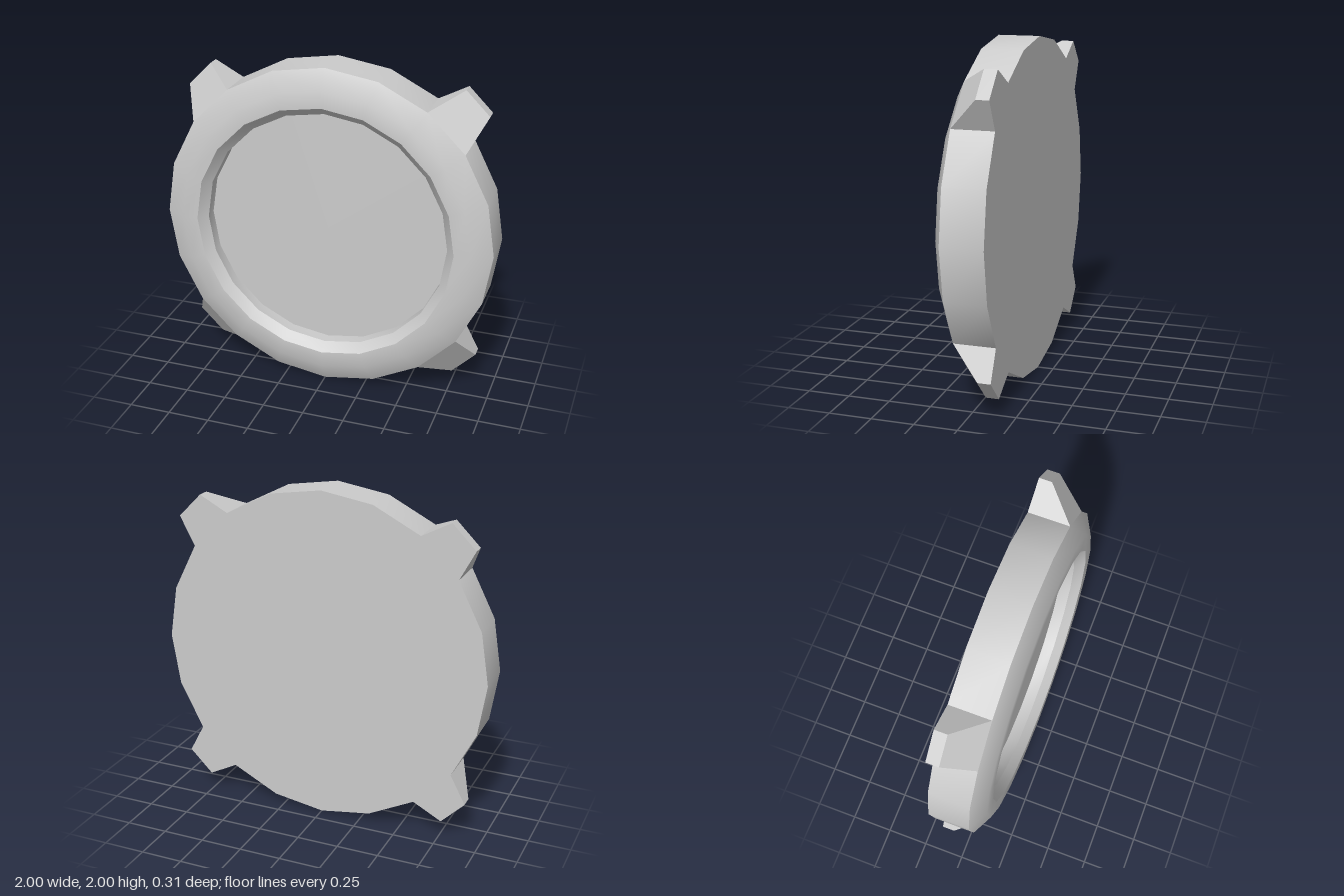
import * as THREE from 'three';
import { toCreasedNormals } from 'three/addons/utils/BufferGeometryUtils.js';

const SIDES = 20;
const BACK = -0.155, FRONT = 0.155, SHOULDER = 0.09;

// Wedge-shaped lug along +x: full height at the rim, narrower and thinner at the tip
function lugGeometry() {
  const rim = Math.cos(Math.PI / SIDES), halfFacet = Math.sin(Math.PI / SIDES);
  const geometry = new THREE.BoxGeometry(1, 1, 1);
  const p = geometry.attributes.position;
  for (let i = 0; i < p.count; i++) {
    const tip = p.getX(i) > 0, front = p.getZ(i) > 0;
    p.setXYZ(
      i,
      tip ? 1.174 : rim,
      Math.sign(p.getY(i)) * (tip ? 0.099 : halfFacet),
      front ? (tip ? -0.08 : SHOULDER) : BACK
    );
  }
  geometry.computeVertexNormals();
  return geometry;
}

export function createModel() {
  const model = new THREE.Group();
  model.name = 'roundCap';
  const material = new THREE.MeshStandardMaterial({ color: 0xcccccc });

  // Dish: flat back, outer wall, chamfered rim, bevelled lip and recessed floor
  const profile = [
    [0, BACK], [1, BACK], [1, SHOULDER], [0.88, FRONT],
    [0.785, FRONT], [0.735, 0.1], [0.735, 0.03], [0, 0.03],
  ].map(([r, z]) => new THREE.Vector2(r, z));
  const dishGeometry = new THREE.LatheGeometry(profile, SIDES);
  dishGeometry.rotateX(Math.PI / 2);
  const dish = new THREE.Mesh(toCreasedNormals(dishGeometry, Math.PI / 6), material);
  dish.name = 'dish';
  dish.position.y = 1;
  model.add(dish);

  // Four lugs on the diagonals
  const lug = lugGeometry();
  ['upperLeftLug', 'upperRightLug', 'lowerRightLug', 'lowerLeftLug'].forEach((name, i) => {
    const mesh = new THREE.Mesh(lug, material);
    mesh.name = name;
    mesh.position.y = 1;
    mesh.rotation.z = Math.PI / 4 + (i * Math.PI) / 2;
    model.add(mesh);
  });

  return model;
}
